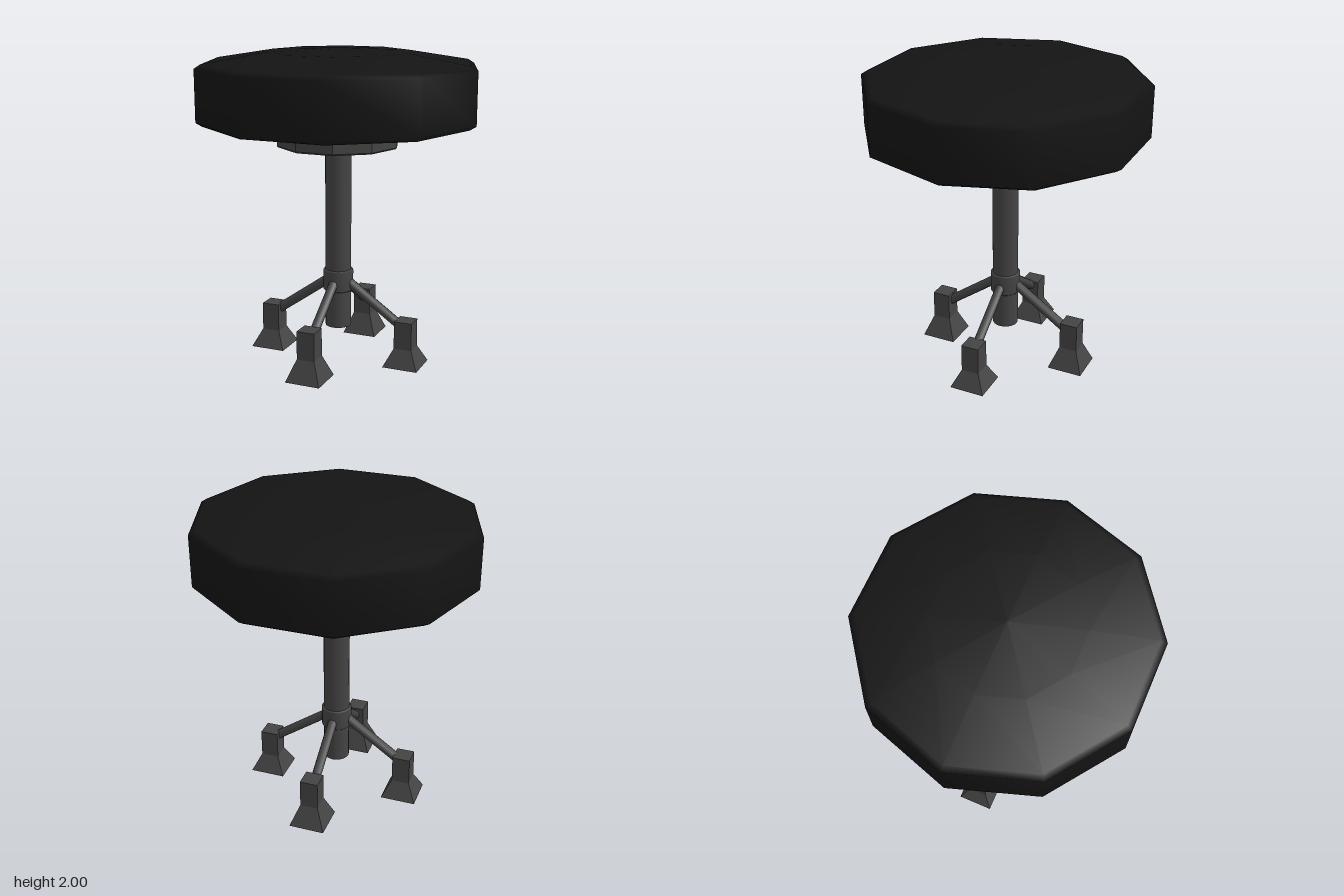
import * as THREE from 'three';

const metal = new THREE.MeshStandardMaterial({ color: 0x444444 });
const metalFlat = new THREE.MeshStandardMaterial({ color: 0x444444, flatShading: true });
const cushion = new THREE.MeshStandardMaterial({ color: 0x141414 });

// Solid of revolution from [radius, y] pairs, listed bottom to top
function turned(name, profile, sides, material, phi = Math.PI / 2) {
  const points = profile.map(([r, y]) => new THREE.Vector2(r, y));
  const mesh = new THREE.Mesh(new THREE.LatheGeometry(points, sides, phi), material);
  mesh.name = name;
  return mesh;
}

// Round bar between two points
function bar(name, a, b, radius) {
  const mesh = new THREE.Mesh(new THREE.CylinderGeometry(radius, radius, a.distanceTo(b), 8), metal);
  mesh.position.copy(a).add(b).multiplyScalar(0.5);
  mesh.quaternion.setFromUnitVectors(new THREE.Vector3(0, 1, 0), b.clone().sub(a).normalize());
  mesh.name = name;
  return mesh;
}

// Sloping arm and square flared foot, built along +x
function createLeg(name, reach, top) {
  const leg = new THREE.Group();
  leg.name = name;
  leg.add(bar('arm', new THREE.Vector3(0.05, 0.525, 0), new THREE.Vector3(reach - 0.03, 0.255, 0), 0.031));
  const k = Math.SQRT2;
  const foot = turned('foot', [
    [0, 0.005], [0.114 * k, 0.005], [0.058 * k, top - 0.18], [0.058 * k, top], [0, top],
  ], 4, metalFlat, Math.PI / 4);
  foot.position.x = reach;
  leg.add(foot);
  return leg;
}

export function createModel() {
  const stool = new THREE.Group();
  stool.name = 'stool';

  // Ten-sided padded seat with a domed top
  stool.add(turned('seat', [
    [0, 1.54], [0.845, 1.54], [0.885, 1.565], [0.885, 1.89],
    [0.845, 1.915], [0.45, 1.98], [0, 2],
  ], 10, cushion));

  // Mounting disc under the seat
  stool.add(turned('seatMount', [
    [0, 1.395], [0.38, 1.395], [0.39, 1.405], [0.39, 1.545], [0, 1.545],
  ], 10, metalFlat));

  // Central column
  const column = new THREE.Mesh(new THREE.CylinderGeometry(0.083, 0.083, 1.2, 20), metal);
  column.position.y = 0.81;
  column.name = 'column';
  stool.add(column);

  // Collar that holds the arms
  stool.add(turned('collar', [
    [0.08, 0.45], [0.09, 0.45], [0.097, 0.458], [0.097, 0.582], [0.09, 0.59], [0.08, 0.59],
  ], 20, metal));

  // Four legs; the front and back feet sit slightly taller
  const legs = [
    ['leftLeg', 0.465, 0.3], ['backLeg', 0.475, 0.325],
    ['rightLeg', 0.465, 0.3], ['frontLeg', 0.455, 0.325],
  ];
  legs.forEach(([name, reach, top], i) => {
    const leg = createLeg(name, reach, top);
    leg.rotation.y = (i * Math.PI) / 2;
    stool.add(leg);
  });

  return stool;
}
